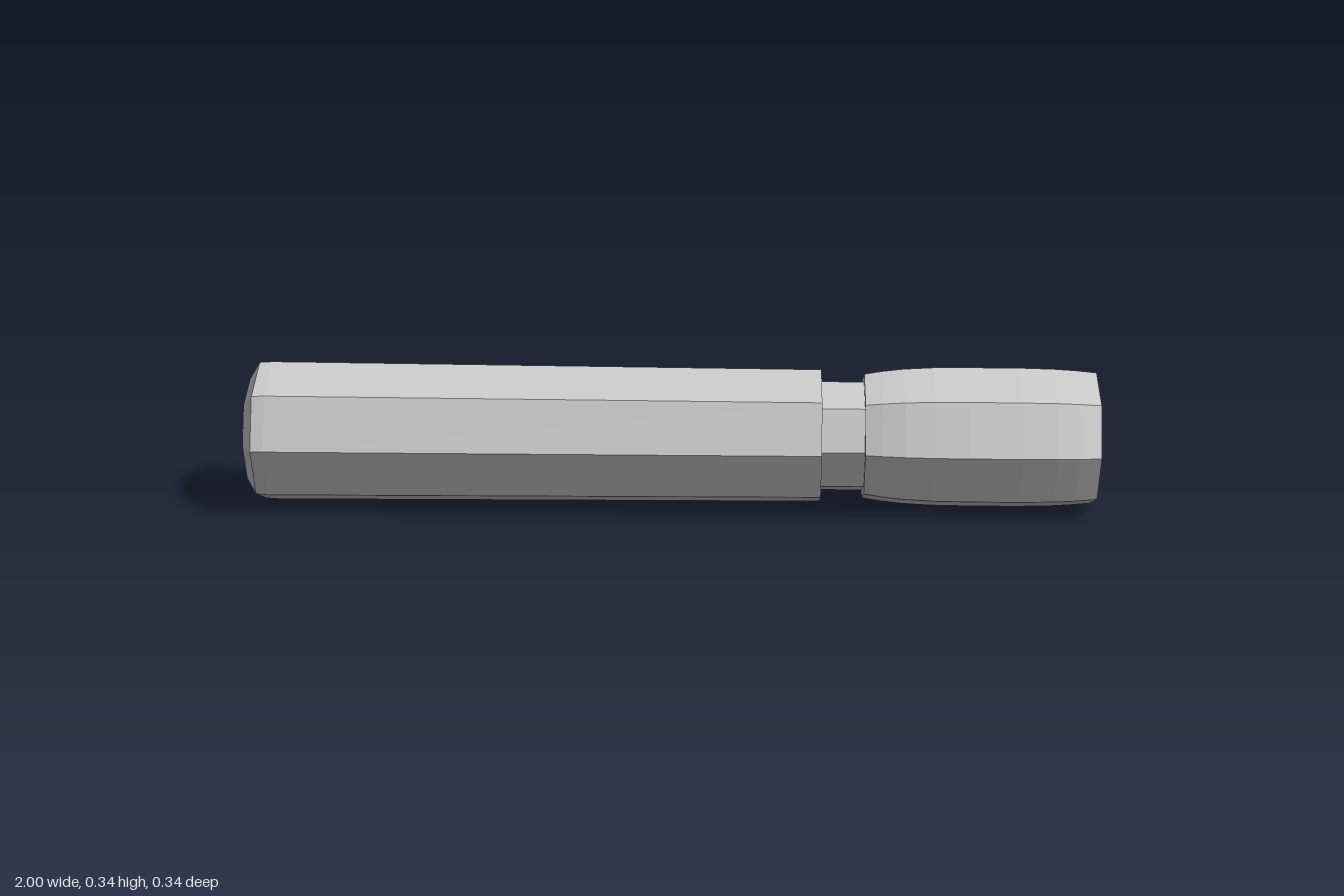
import * as THREE from 'three';

const SIDES = 8;
const AXIS_Y = 0.17;

const material = new THREE.MeshStandardMaterial({ color: 0xcccccc, flatShading: true });

// Octagonal solid of revolution along x; profile is [x, radius] from left to right.
function turned(name, profile) {
  const points = profile.map(([x, r]) => new THREE.Vector2(r, x));
  const geometry = new THREE.LatheGeometry(points, SIDES);
  geometry.rotateZ(-Math.PI / 2);
  geometry.translate(0, AXIS_Y, 0);
  const mesh = new THREE.Mesh(geometry, material);
  mesh.name = name;
  return mesh;
}

export function createModel() {
  const group = new THREE.Group();
  group.name = 'flashlight';

  // Long handle with a bevelled, slightly domed end cap
  group.add(turned('handle', [
    [-1, 0], [-0.995, 0.08], [-0.985, 0.127], [-0.96, 0.168], [-0.93, 0.17],
    [0.36, 0.162], [0.36, 0.13],
  ]));

  // Narrow neck between handle and head
  group.add(turned('neck', [[0.36, 0.133], [0.46, 0.133]]));

  // Bulging head with rim and tapered reflector bowl
  group.add(turned('head', [
    [0.46, 0.13], [0.46, 0.152], [0.5, 0.159], [0.55, 0.165], [0.62, 0.169],
    [0.7, 0.17], [0.82, 0.17], [0.9, 0.168], [0.95, 0.165], [1, 0.16],
    [1, 0.135], [0.88, 0.057], [0.88, 0],
  ]));

  return group;
}
